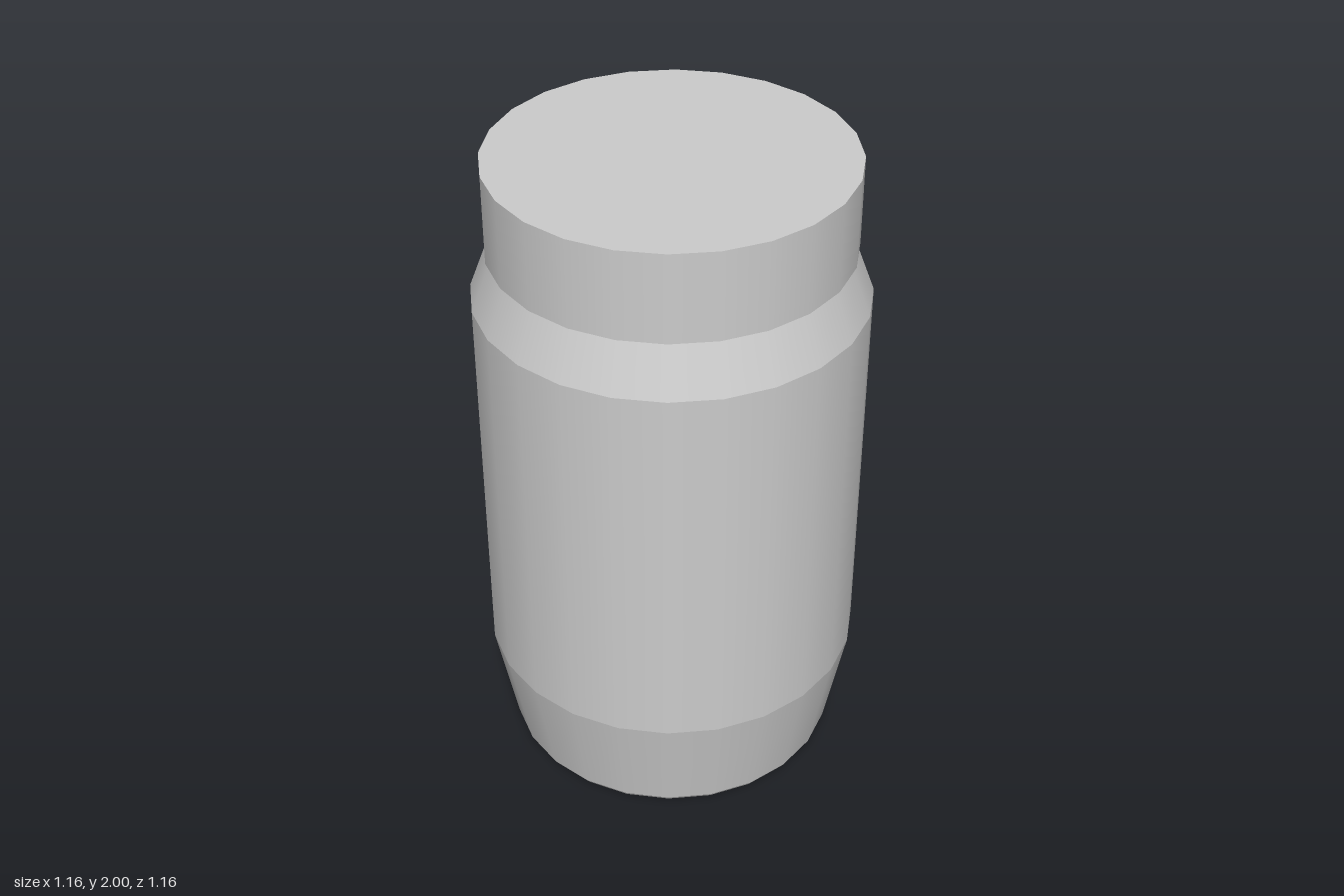
import * as THREE from 'three';
import { mergeGeometries } from 'three/addons/utils/BufferGeometryUtils.js';

const SIDES = 24;

// Closed turned solid: each [radius, y] step is its own smooth band, so the rings between bands stay crisp.
function turned(name, profile) {
  const bands = [];
  for (let i = 0; i < profile.length - 1; i++) {
    const [r0, y0] = profile[i];
    const [r1, y1] = profile[i + 1];
    const band = new THREE.CylinderGeometry(r1, r0, y1 - y0, SIDES, 1, true);
    bands.push(band.translate(0, (y0 + y1) / 2, 0));
  }
  const [rBottom, yBottom] = profile[0];
  const [rTop, yTop] = profile[profile.length - 1];
  bands.push(new THREE.CircleGeometry(rBottom, SIDES).rotateX(Math.PI / 2).translate(0, yBottom, 0));
  bands.push(new THREE.CircleGeometry(rTop, SIDES).rotateX(-Math.PI / 2).translate(0, yTop, 0));
  const mesh = new THREE.Mesh(
    mergeGeometries(bands),
    new THREE.MeshStandardMaterial({ color: 0xcccccc })
  );
  mesh.name = name;
  return mesh;
}

export function createModel() {
  const group = new THREE.Group();
  group.name = 'jar';

  // Body: small base bevel, tapered foot, straight wall, sloping shoulder
  group.add(turned('body', [
    [0.505, 0], [0.515, 0.015], [0.58, 0.36], [0.58, 1.575], [0.522, 1.728],
  ]));

  // Lid: flat cylinder slightly overhanging the shoulder
  group.add(turned('lid', [[0.533, 1.728], [0.533, 2]]));

  return group;
}
